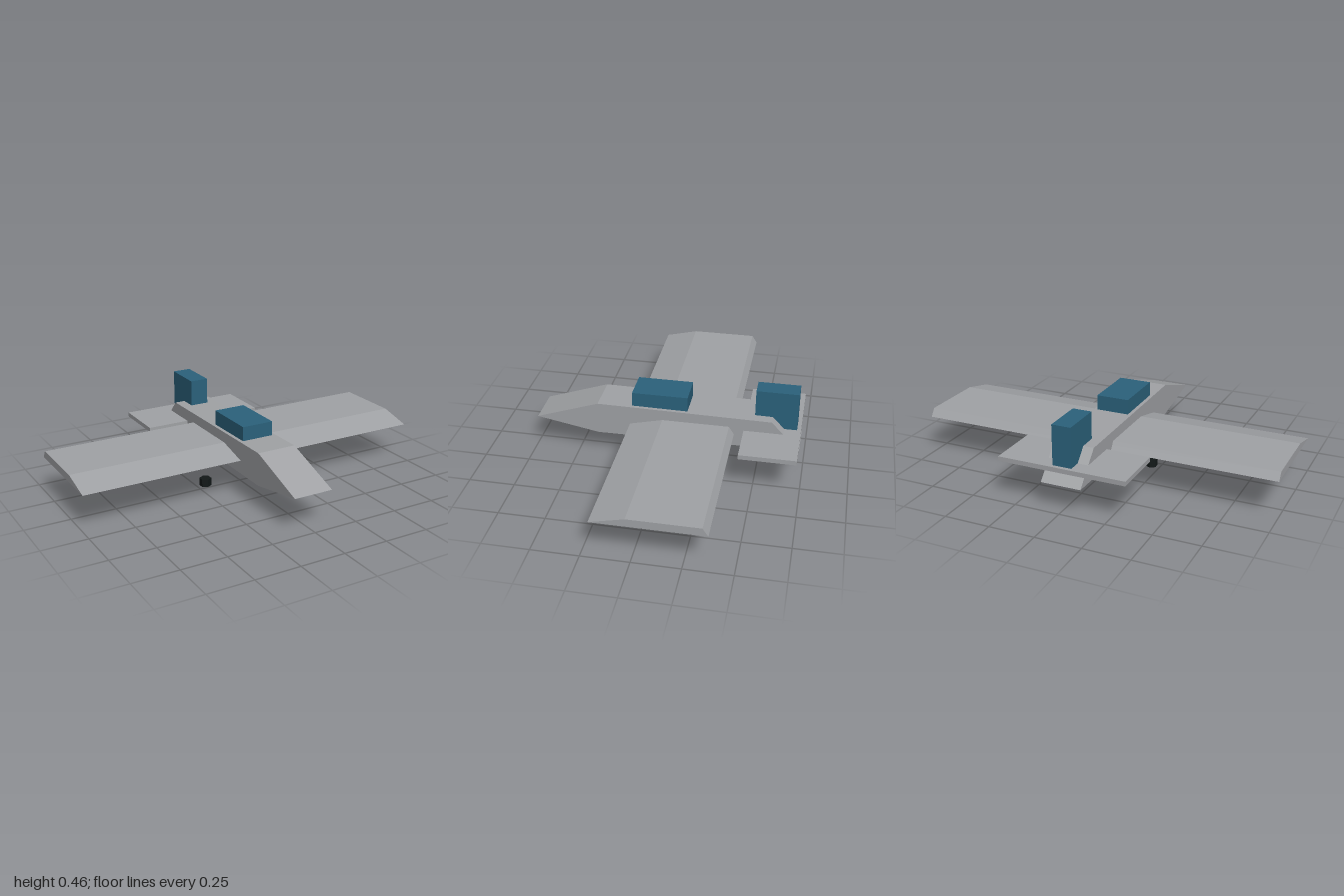
import * as THREE from 'three';

const mat = (name, color) => {
  const m = new THREE.MeshStandardMaterial({ color });
  m.name = name;
  return m;
};

export function createModel() {
  const plane = new THREE.Group();
  plane.name = 'airplane';
  const grey = mat('airframe grey', 0xa1a3a6);
  const blue = mat('glass blue', 0x2b627c);
  const black = mat('wheel black', 0x121818);

  const add = (name, geometry, material) => {
    const mesh = new THREE.Mesh(geometry, material);
    mesh.name = name;
    plane.add(mesh);
    return mesh;
  };

  // Side profile given as [z, y] points, extruded across x
  const slab = (points, width) => {
    const shape = new THREE.Shape(points.map(([z, y]) => new THREE.Vector2(z, y)));
    return new THREE.ExtrudeGeometry(shape, { depth: width, bevelEnabled: false })
      .translate(0, 0, -width / 2)
      .rotateY(-Math.PI / 2);
  };

  // Box centred on x, given by its height and depth ranges
  const block = (width, y0, y1, z0, z1) =>
    new THREE.BoxGeometry(width, y1 - y0, z1 - z0)
      .translate(0, (y0 + y1) / 2, (z0 + z1) / 2);

  // Body with wedge nose and slanted tail end
  add('fuselage', slab([
    [0.727, 0.2], [0.38, 0.318], [-0.573, 0.308], [-0.727, 0.145], [0.38, 0.136],
  ], 0.22), grey);

  // Full-span wing with long leading bevel
  add('wing', slab([
    [0.2, 0.212], [0.02, 0.255], [-0.345, 0.255], [-0.373, 0.212],
  ], 2), grey);

  add('tailplane', block(0.7, 0.215, 0.24, -0.727, -0.424), grey);
  add('tailFin', block(0.104, 0.213, 0.457, -0.706, -0.477), blue);
  add('canopy', block(0.18, 0.27, 0.395, -0.115, 0.19), blue);

  // Small hexagonal wheels, one below each wing
  for (const side of [-1, 1]) {
    const wheel = add(side > 0 ? 'leftWheel' : 'rightWheel',
      new THREE.CylinderGeometry(0.033, 0.033, 0.043, 6).toNonIndexed(), black);
    wheel.geometry.computeVertexNormals();
    wheel.position.set(side * 0.2, 0.0215, -0.036);
  }
  return plane;
}
